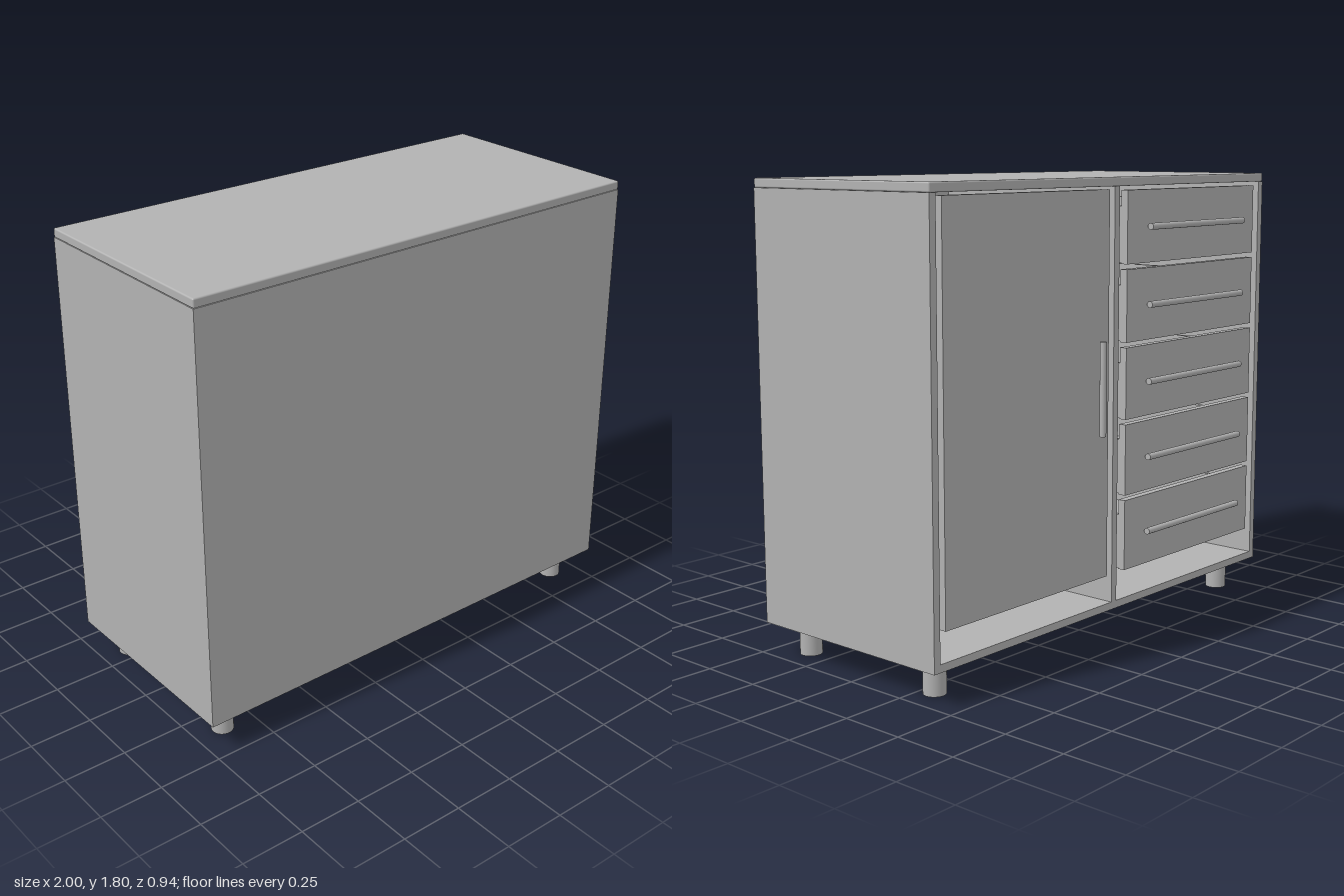
import * as THREE from 'three';
import { RoundedBoxGeometry } from 'three/addons/geometries/RoundedBoxGeometry.js';

export function createModel() {
  const cabinet = new THREE.Group();
  cabinet.name = 'cabinet';
  const grey = new THREE.MeshStandardMaterial({ color: 0xb2b2b2 });
  grey.name = 'plain grey';

  const add = (parent, name, geometry) => {
    const mesh = new THREE.Mesh(geometry, grey);
    mesh.name = name;
    parent.add(mesh);
    return mesh;
  };

  // Box given by its extents; an optional radius softens the edges
  const panel = (parent, name, [x0, x1], [y0, y1], [z0, z1], radius = 0) => {
    const size = [x1 - x0, y1 - y0, z1 - z0];
    const geometry = radius
      ? new RoundedBoxGeometry(...size, 2, radius)
      : new THREE.BoxGeometry(...size);
    const mesh = add(parent, name, geometry);
    mesh.position.set((x0 + x1) / 2, (y0 + y1) / 2, (z0 + z1) / 2);
    return mesh;
  };

  const T = 0.03; // board thickness
  const FRONT = 0.469, OPEN = -0.424; // closed face and open face
  const BASE = 0.125, SHOULDER = 1.765;

  // Carcass: side walls, floor, divider, closed panel and worktop
  panel(cabinet, 'leftSide', [1 - T, 1], [BASE, SHOULDER], [OPEN, FRONT]);
  panel(cabinet, 'rightSide', [-1, -1 + T], [BASE, SHOULDER], [OPEN, FRONT]);
  panel(cabinet, 'floor', [-1 + T, 1 - T], [BASE, BASE + T], [OPEN, FRONT]);
  panel(cabinet, 'divider', [-T / 2, T / 2], [BASE + T, SHOULDER], [OPEN, FRONT - T]);
  panel(cabinet, 'closedPanel', [-1 + T, 1 - T], [BASE + T, SHOULDER], [FRONT - T, FRONT]);
  panel(cabinet, 'worktop', [-1, 1], [SHOULDER, 1.8], [OPEN, FRONT], 0.006);

  // Round feet
  for (const x of [-0.882, 0.882]) {
    for (const z of [-0.308, 0.353]) {
      add(cabinet, 'foot', new THREE.CylinderGeometry(0.043, 0.043, BASE, 32))
        .position.set(x, BASE / 2, z);
    }
  }

  // Bar handle standing clear of the fronts
  const handle = (parent, length, x, y, horizontal) => {
    const bar = add(parent, 'barHandle', new THREE.CylinderGeometry(0.013, 0.013, length, 20));
    bar.position.set(x, y, -0.457);
    if (horizontal) bar.rotation.z = Math.PI / 2;
  };

  // Door with upright handle
  const door = new THREE.Group();
  door.name = 'door';
  cabinet.add(door);
  panel(door, 'doorPanel', [0.055, 0.95], [0.27, 1.755], [-0.431, -0.4]);
  handle(door, 0.36, 0.12, 1.013, false);

  // Five drawers, each a front with an open tray behind it
  for (let i = 0; i < 5; i++) {
    const drawer = new THREE.Group();
    drawer.name = 'drawer';
    cabinet.add(drawer);
    const y = 0.41 + i * 0.3;
    const low = y - 0.135, high = y + 0.08;
    panel(drawer, 'drawerFront', [-0.92, -0.055], [y - 0.14, y + 0.14], [-0.431, -0.4]);
    panel(drawer, 'trayBottom', [-0.92, -0.055], [low, low + 0.02], [-0.4, 0.41]);
    panel(drawer, 'trayLeft', [-0.075, -0.055], [low + 0.02, high], [-0.4, 0.41]);
    panel(drawer, 'trayRight', [-0.92, -0.9], [low + 0.02, high], [-0.4, 0.41]);
    panel(drawer, 'trayEnd', [-0.9, -0.075], [low + 0.02, high], [0.39, 0.41]);
    handle(drawer, 0.635, -0.484, y, true);
  }

  return cabinet;
}
